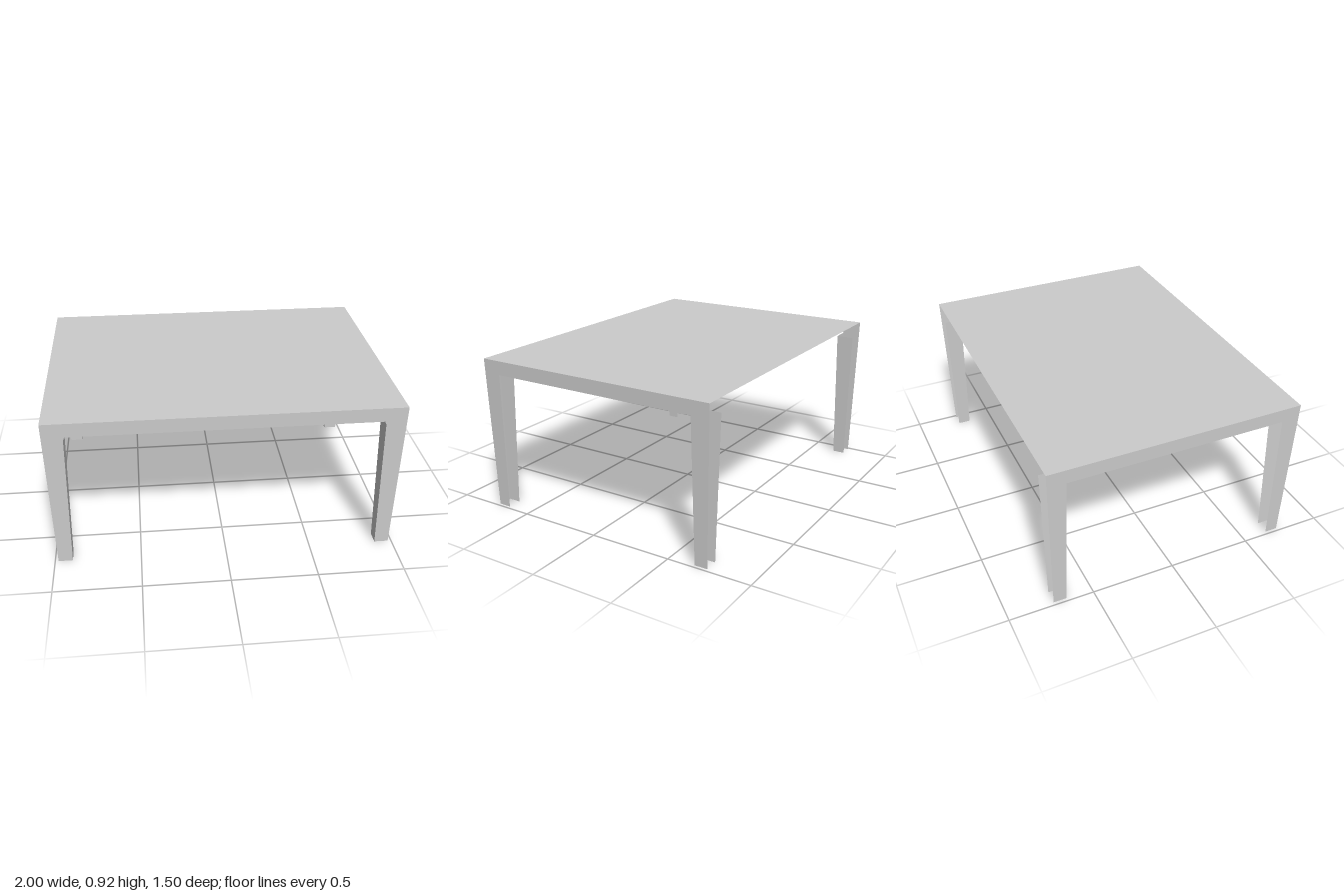
import * as THREE from 'three';

const H = 0.92;      // table height
const APRON = 0.837; // underside of the apron

// Leg faces taper in straight lines from the floor up
const taper = (bottom, top, yTop) => (y) => bottom + (top - bottom) * y / yTop;
const outX = taper(0.98, 1, H);
const outZ = taper(0.733, 0.75, H);
const inX = taper(0.898, 0.881, APRON);
const inZ = taper(0.656, 0.641, APRON);

const material = new THREE.MeshStandardMaterial({ color: 0xcccccc, side: THREE.DoubleSide, flatShading: true });

export function createModel() {
  const table = new THREE.Group();
  table.name = 'table';

  const add = (name, geometry) => {
    const mesh = new THREE.Mesh(geometry, material);
    mesh.name = name;
    table.add(mesh);
    return mesh;
  };

  // Flat outline of (s, y) points, placed by a rule into the model
  const sheet = (name, points, place) => {
    const geo = new THREE.ShapeGeometry(new THREE.Shape(points.map(([s, y]) => new THREE.Vector2(s, y))));
    const pos = geo.attributes.position;
    for (let i = 0; i < pos.count; i++) pos.setXYZ(i, ...place(pos.getX(i), pos.getY(i)));
    geo.computeVertexNormals();
    return add(name, geo);
  };

  // Apron and two leg faces cut as one arch, with a small bevel in the corners
  const arch = (outer, inner, bevel) => {
    const half = [[outer(0), 0], [outer(H), H]];
    const inside = [[inner(APRON) - bevel, APRON], [inner(APRON - 0.02), APRON - 0.02], [inner(0), 0]];
    const flip = (list) => list.map(([s, y]) => [-s, y]).reverse();
    return [...half, ...flip(half), ...flip(inside), ...inside];
  };

  // Table top
  const top = add('tableTop', new THREE.PlaneGeometry(2, 1.5).rotateX(-Math.PI / 2));
  top.position.y = H;

  // Front and side panels; the back is open
  sheet('frontPanel', arch(outX, inX, 0.008), (s, y) => [s, y, outZ(y)]);
  for (const side of [1, -1]) {
    sheet(side > 0 ? 'leftPanel' : 'rightPanel', arch(outZ, inZ, 0),
      (s, y) => [side * outX(y), y, -side * s]);
  }

  // Inner leg walls: each leg is a channel open towards the back
  for (const sx of [1, -1]) {
    for (const sz of [1, -1]) {
      const legName = (sz > 0 ? 'front' : 'back') + (sx > 0 ? 'Left' : 'Right') + 'Leg';
      const zWall = [[inZ, 0], [outZ, 0], [outZ, APRON], [inZ, APRON]].map(([f, y]) => [sx * sz * f(y), y]);
      sheet(legName + 'InnerWall', zWall, (s, y) => [sx * inX(y), y, sx * s]);
      if (sz < 0) {
        const xWall = [[inX, 0], [outX, 0], [outX, APRON], [inX, APRON]].map(([f, y]) => [sx * f(y), y]);
        sheet(legName + 'FrontWall', xWall, (s, y) => [s, y, -inZ(y)]);
      }
    }
  }
  return table;
}
